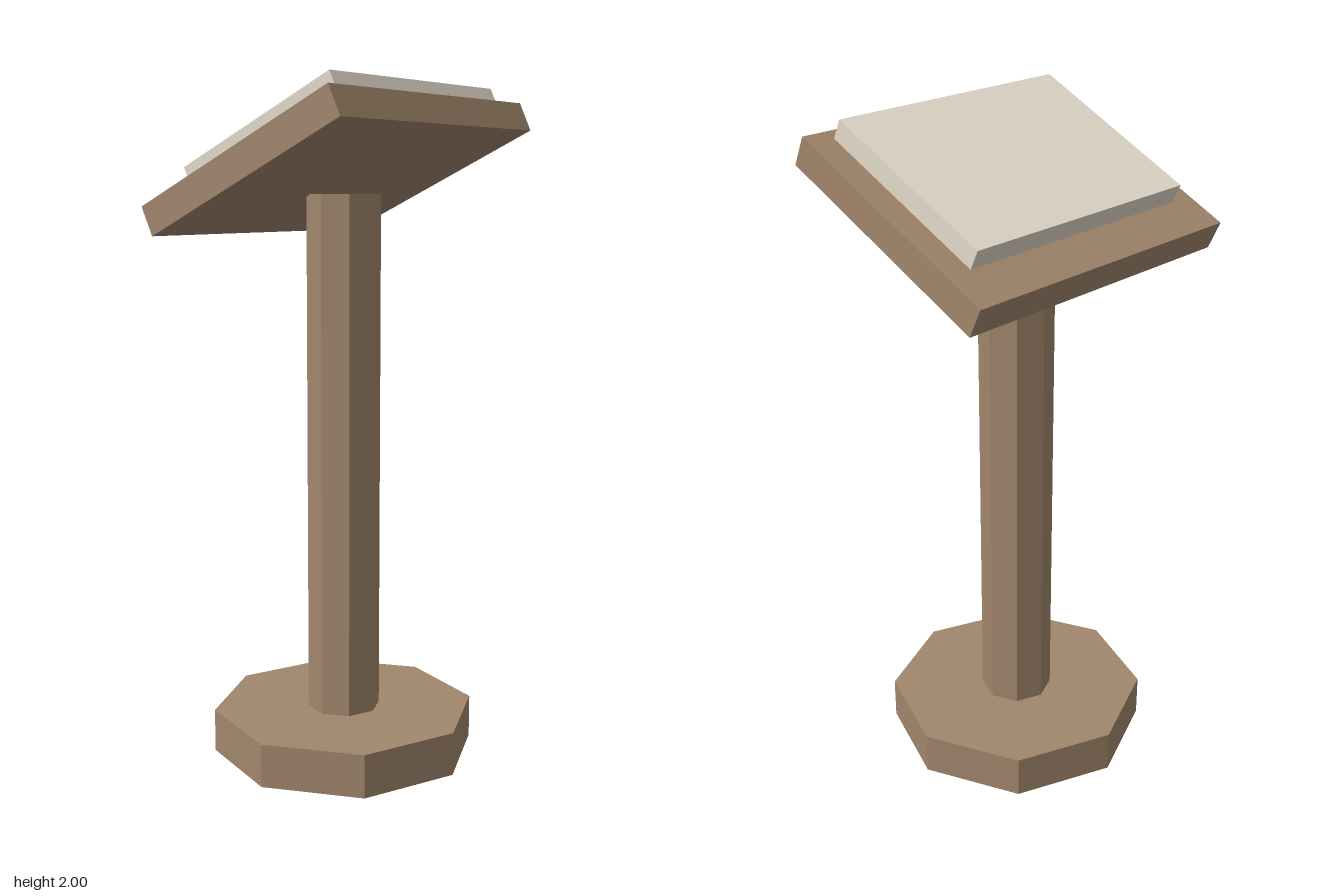
import * as THREE from 'three';

export function createModel() {
  const model = new THREE.Group();
  model.name = 'lectern';

  const wood = new THREE.MeshStandardMaterial({ color: 0xa1866c });
  wood.name = 'brown wood';
  const paper = new THREE.MeshStandardMaterial({ color: 0xe3dacb });
  paper.name = 'cream paper';

  function add(parent, name, geometry, material, x, y, z) {
    const mesh = new THREE.Mesh(geometry, material);
    mesh.name = name;
    mesh.position.set(x, y, z);
    parent.add(mesh);
    return mesh;
  }

  // Eight-sided prism with crisp faces, corners on the x and z axes
  function octagon(radius, height) {
    return new THREE.CylinderGeometry(radius, radius, height, 8).toNonIndexed();
  }

  // Foot and post
  const parts = [
    ['base', 0.4, 0, 0.13],
    ['post', 0.11, 0.13, 1.69],
  ];
  for (const [name, radius, bottom, top] of parts) {
    const geometry = octagon(radius, top - bottom);
    geometry.computeVertexNormals();
    add(model, name, geometry, wood, 0, (bottom + top) / 2, 0);
  }

  // Sloping desk, high at the front and falling towards the back
  const desk = new THREE.Group();
  desk.name = 'desk';
  desk.position.y = 1.7675;
  desk.rotation.x = -THREE.MathUtils.degToRad(25);
  model.add(desk);

  add(desk, 'board', new THREE.BoxGeometry(0.96, 0.09, 0.72), wood, 0, 0, 0);
  add(desk, 'pages', new THREE.BoxGeometry(0.8, 0.06, 0.56), paper, 0, 0.075, 0.046);

  return model;
}
